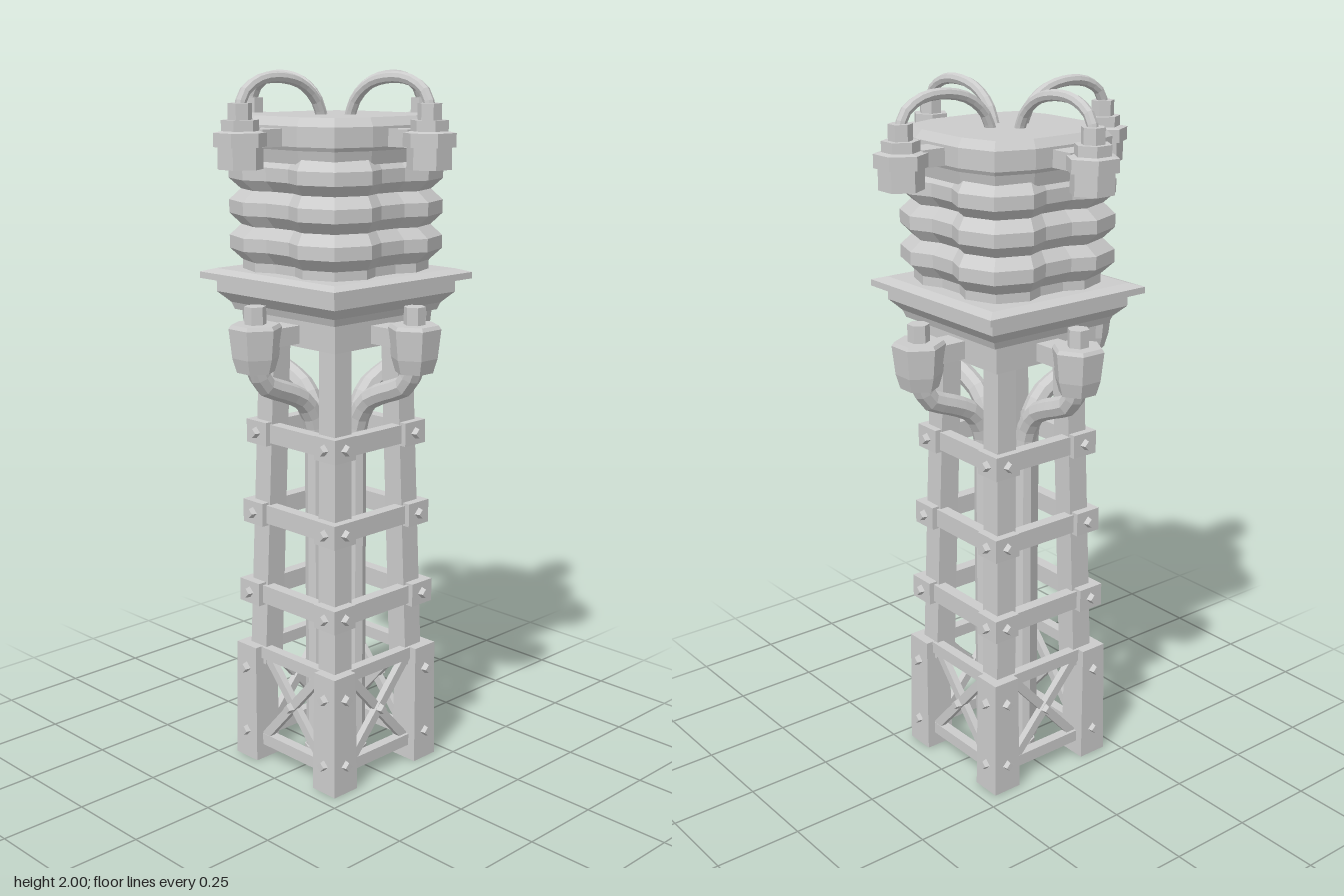
import * as THREE from 'three';

const material = new THREE.MeshStandardMaterial({ color: 0xcccccc, flatShading: true });

function add(parent, name, geometry, x = 0, y = 0, z = 0) {
  const mesh = new THREE.Mesh(geometry, material);
  mesh.name = name;
  mesh.position.set(x, y, z);
  parent.add(mesh);
  return mesh;
}

// Stacks scaled copies of a plan outline; each ring is [scale, y, offsetX, offsetZ]
function loft(plan, rings) {
  const pos = [];
  const pt = ([s, y, ox = 0, oz = 0], j) => {
    const [x, z] = plan[j % plan.length];
    return [x * s + ox, y, z * s + oz];
  };
  const mid = ([, y, ox = 0, oz = 0]) => [ox, y, oz];
  const lo = rings[0], hi = rings[rings.length - 1];
  for (let j = 0; j < plan.length; j++) {
    for (let i = 0; i + 1 < rings.length; i++) {
      const a = pt(rings[i], j), b = pt(rings[i], j + 1);
      const c = pt(rings[i + 1], j + 1), d = pt(rings[i + 1], j);
      pos.push(...a, ...b, ...c, ...a, ...c, ...d);
    }
    pos.push(...mid(hi), ...pt(hi, j), ...pt(hi, j + 1));
    pos.push(...mid(lo), ...pt(lo, j + 1), ...pt(lo, j));
  }
  const g = new THREE.BufferGeometry();
  g.setAttribute('position', new THREE.Float32BufferAttribute(pos, 3));
  g.computeVertexNormals();
  return g;
}

// Repeats a quarter of an outline around the centre
function fourFold(quarter) {
  const out = [];
  for (let k = 0; k < 4; k++) {
    const c = Math.round(Math.cos(k * Math.PI / 2)), s = Math.round(Math.sin(k * Math.PI / 2));
    for (const [x, z] of quarter) out.push([x * c + z * s, z * c - x * s]);
  }
  return out;
}

const square = fourFold([[1, 1]]);
const capPlan = fourFold([[-0.1, 0.25], [0.1, 0.25], [0.213, 0.213]]);
const bodyPlan = fourFold([[-0.11, 0.25], [-0.045, 0.222], [0.045, 0.222], [0.11, 0.25], [0.212, 0.212]]);
const hexPlan = Array.from({ length: 6 }, (_, i) => {
  const a = (i * Math.PI) / 3 + Math.PI / 2;
  return [Math.sin(a), Math.cos(a)];
});

function tube(points, radius, segments) {
  const curve = new THREE.CatmullRomCurve3(points.map(([y, z]) => new THREE.Vector3(0, y, z)));
  return new THREE.TubeGeometry(curve, segments, radius, 8, false);
}

// Square-headed bolt facing +z, turned to a diamond
function bolt(parent, x, y, z) {
  const m = add(parent, 'bolt', new THREE.CylinderGeometry(0.013, 0.018, 0.02, 4), x, y, z);
  m.rotation.x = Math.PI / 2;
}

// Everything that repeats on each side, built facing +z
function buildSide() {
  const side = new THREE.Group();
  side.name = 'towerSide';

  // Corner leg with a thick foot
  add(side, 'leg', loft(square, [[0.033, 0.3, 0.145, 0.145], [0.031, 1.28, 0.121, 0.121]]));
  add(side, 'foot', loft(square, [[0.045, 0, 0.165, 0.165], [0.041, 0.355, 0.165, 0.165]]));
  for (const x of [-0.165, 0.165]) for (const y of [0.085, 0.285]) bolt(side, x, y, 0.213);

  // Horizontal bands with corner clamps
  for (const [y, c] of [[0.52, 0.157], [0.762, 0.148], [1.0, 0.139]]) {
    add(side, 'crossBar', new THREE.BoxGeometry(2 * c, 0.054, 0.035), 0, y, c + 0.008);
    add(side, 'cornerClamp', new THREE.BoxGeometry(0.082, 0.068, 0.082), c, y, c);
    bolt(side, -c, y, c + 0.047);
    bolt(side, c, y, c + 0.047);
  }

  // Braced bay at the foot
  for (const y of [0.062, 0.337]) add(side, 'baseBar', new THREE.BoxGeometry(0.27, 0.035, 0.03), 0, y, 0.17);
  for (const s of [-1, 1]) {
    const brace = add(side, 'diagonalBrace', new THREE.BoxGeometry(0.36, 0.026, 0.02), 0, 0.2, 0.17 + s * 0.004);
    brace.rotation.z = s * 0.84;
  }
  bolt(side, 0, 0.2, 0.19);

  // Riser pipe bending out to the lower insulator
  add(side, 'riserPipe', new THREE.CylinderGeometry(0.03, 0.03, 1.0, 8), 0, 0.5, 0.08);
  add(side, 'pipeCollar', new THREE.CylinderGeometry(0.035, 0.035, 0.035, 8), 0, 0.0375, 0.08);
  add(side, 'pipeBend', tube([[0.99, 0.08], [1.05, 0.09], [1.11, 0.13], [1.145, 0.2], [1.175, 0.27], [1.23, 0.3]], 0.03, 10));

  // Lower insulator
  add(side, 'lowerInsulator', loft(hexPlan, [[0.052, 1.215, 0, 0.3], [0.064, 1.255, 0, 0.3],
    [0.073, 1.335, 0, 0.3], [0.066, 1.345, 0, 0.3]]));
  add(side, 'lowerPin', loft(hexPlan, [[0.03, 1.34, 0, 0.3], [0.03, 1.393, 0, 0.3]]));
  add(side, 'lowerBracket', new THREE.BoxGeometry(0.075, 0.05, 0.1), 0, 1.305, 0.21);

  // Upper insulator on the cap
  add(side, 'upperInsulator', loft(hexPlan, [[0.06, 1.755, 0, 0.343], [0.06, 1.812, 0, 0.343], [0.071, 1.812, 0, 0.343],
    [0.071, 1.848, 0, 0.343], [0.05, 1.852, 0, 0.343], [0.05, 1.88, 0, 0.343]]));
  add(side, 'upperPin', loft(hexPlan, [[0.032, 1.87, 0, 0.343], [0.032, 1.922, 0, 0.343]]));
  add(side, 'upperBracket', new THREE.BoxGeometry(0.074, 0.046, 0.13), 0, 1.832, 0.235);

  // Arched cable into the cap
  add(side, 'archedCable', tube([[1.9, 0.345], [1.945, 0.33], [1.977, 0.28], [1.985, 0.21],
    [1.968, 0.13], [1.925, 0.075], [1.87, 0.05]], 0.015, 14));
  return side;
}

export function createModel() {
  const model = new THREE.Group();
  model.name = 'coilTower';

  for (let k = 0; k < 4; k++) {
    const side = buildSide();
    side.rotation.y = (k * Math.PI) / 2;
    model.add(side);
  }

  // Stepped platform
  add(model, 'platform', loft(square, [[0.175, 1.27], [0.175, 1.345], [0.2, 1.35], [0.207, 1.37],
    [0.235, 1.4], [0.235, 1.43], [0.268, 1.437], [0.268, 1.455], [0.235, 1.465]]));

  // Ribbed housing
  const ribs = [[0.86, 1.46], [0.86, 1.49]];
  for (const y of [1.54, 1.637, 1.732]) ribs.push([0.98, y - 0.018], [0.98, y + 0.018], [0.87, y + 0.048]);
  add(model, 'ribbedHousing', loft(bodyPlan, ribs));

  // Bevelled cap
  add(model, 'cap', loft(capPlan, [[0.88, 1.765], [0.91, 1.8], [0.93, 1.81], [0.93, 1.862], [0.86, 1.885]]));
  return model;
}
